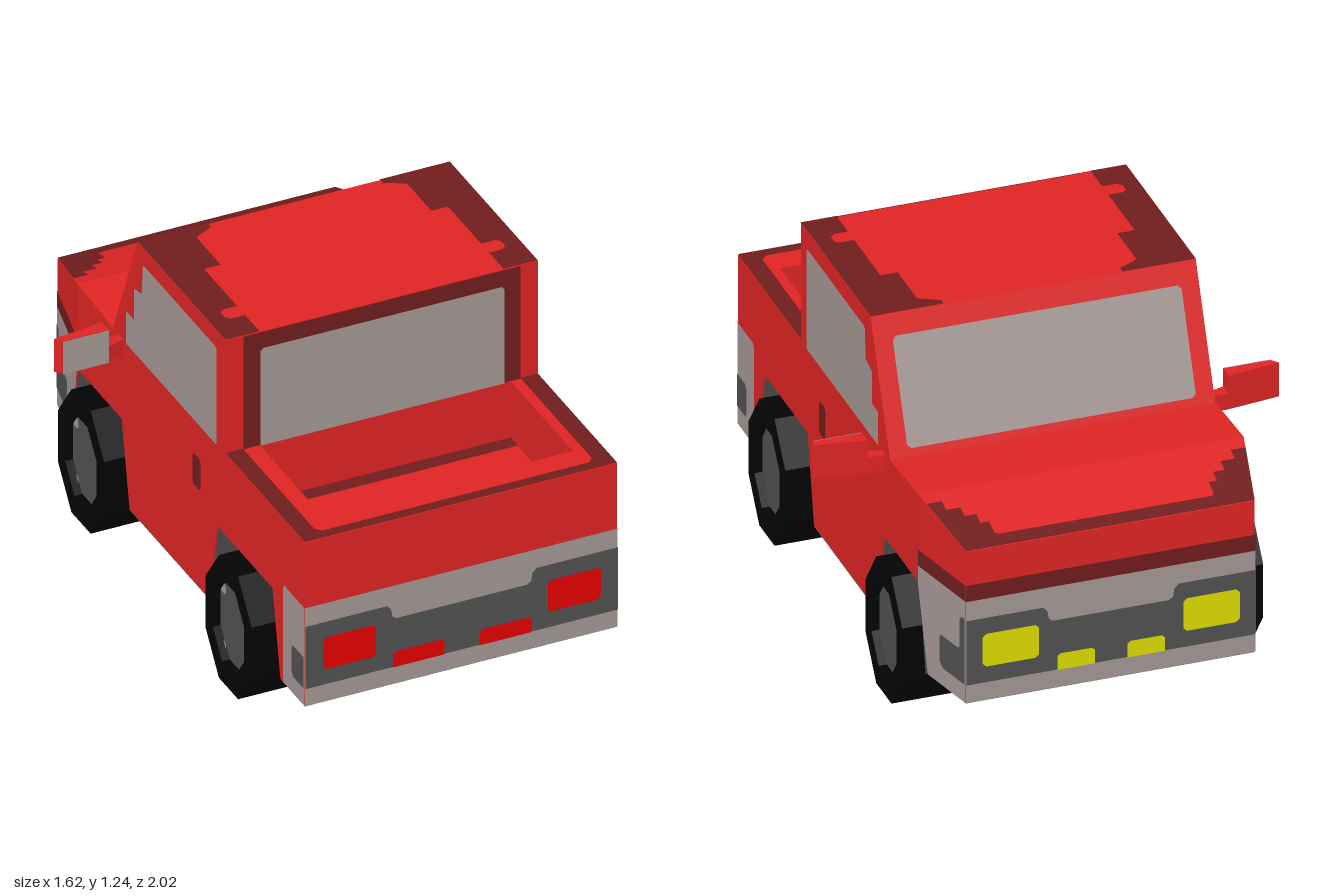
import * as THREE from 'three';
import { ConvexGeometry } from 'three/addons/geometries/ConvexGeometry.js';

const paint = (name, color) => {
  const m = new THREE.MeshStandardMaterial({ color, side: THREE.DoubleSide });
  m.name = name;
  return m;
};

export function createModel() {
  const red = paint('red paint', 0xdf2424), darkRed = paint('dark red paint', 0x701d1d);
  const grey = paint('warm grey', 0xa49795), darkGrey = paint('dark grey', 0x515151);
  const black = paint('tyre black', 0x040404), slate = paint('underside slate', 0x566076);
  const lampRed = paint('tail lamp red', 0xe60000), lampYellow = paint('head lamp yellow', 0xdede00);

  const truck = new THREE.Group();
  truck.name = 'pickupTruck';
  const add = (name, geo, mat, parent = truck) => {
    const mesh = new THREE.Mesh(geo, mat);
    mesh.name = name;
    parent.add(mesh);
    return mesh;
  };
  const vecs = pts => pts.map(p => new THREE.Vector2(...p));
  const rect = (u0, u1, v0, v1) => [[u0, v0], [u1, v0], [u1, v1], [u0, v1]];
  // Rectangle with clipped corners
  const clipped = (u0, u1, v0, v1, c = 0.012) => [[u0 + c, v0], [u1 - c, v0], [u1, v0 + c], [u1, v1 - c],
    [u1 - c, v1], [u0 + c, v1], [u0, v1 - c], [u0, v0 + c]];
  const mirrored = half => [...half, ...half.map(([u, v]) => [-u, v]).reverse()];

  // Flat painted panel: a 2D outline placed on a surface by map(u, v) -> [x, y, z]
  const panel = (name, mat, pts, map, parent = truck) => {
    const geo = new THREE.ShapeGeometry(new THREE.Shape(vecs(pts)));
    const pos = geo.attributes.position;
    for (let i = 0; i < pos.count; i++) pos.setXYZ(i, ...map(pos.getX(i), pos.getY(i)));
    geo.computeVertexNormals();
    return add(name, geo, mat, parent);
  };

  // Body slices: side profiles (z, y) extruded across x
  const slice = (name, pts, x0, x1) => {
    const geo = new THREE.ExtrudeGeometry(new THREE.Shape(vecs(pts)), { depth: x1 - x0, bevelEnabled: false });
    add(name, geo.rotateY(-Math.PI / 2).translate(x1, 0, 0), red);
  };
  const W = 0.563, base = 0.173, roofY = 1.236, floorY = 0.58, archY = 0.487;
  const pocket = [[0.87, 0.8], [0.87, floorY], [0.4, floorY]];
  const cab = [[0.4, roofY], [-0.265, roofY], [-0.45, 0.8], [-0.72, 0.815], [-0.72, archY]];
  const frontArch = [[-0.78, base], [-0.72, archY], [-0.385, archY], [-0.325, base]];
  const rearArch = [[0.275, base], [0.335, archY], [0.755, archY], [0.815, base]];
  const archCut = [...frontArch.slice(2), ...rearArch];
  const tail = [[1, base], [1, 0.8]];
  slice('bodyCentre', [...tail, ...pocket, ...cab, [-0.78, base]], -0.31, 0.31);
  const bedLeft = 0.465, bedRight = 0.44;
  for (const s of [1, -1]) {
    const span = (a, b) => (s > 0 ? [a, b] : [-b, -a]);
    const bedX = s > 0 ? bedLeft : bedRight;
    slice('bodyInner', [...tail, ...pocket, ...cab, ...archCut], ...span(0.31, bedX));
    slice('bodyOuter', [...tail, [0.4, 0.8], ...cab, ...archCut], ...span(bedX, W));
  }

  // Tapered nose
  const noseX = z => W - (-0.72 - z) * ((W - 0.5) / 0.28);
  const noseY = z => 0.735 + (z + 1) * (0.08 / 0.28);
  const nose = [];
  for (const [y, z] of [[0.815, -0.72], [archY, -0.72], [base, -0.78], [0.735, -1], [base, -1]])
    for (const s of [1, -1]) nose.push(new THREE.Vector3(s * noseX(z), y, z));
  add('nose', new ConvexGeometry(nose), red);

  // Underside, notched around the wheel arches
  panel('underside', slate, mirrored([
    [0.5, -1], [noseX(-0.78), -0.78], [0.31, -0.78], [0.31, -0.325], [W, -0.325],
    [W, 0.275], [0.31, 0.275], [0.31, 0.815], [W, 0.815], [W, 1],
  ]), (x, z) => [x, base - 0.003, z]);

  // Hood border, roof corners, bed rim and floor stripes
  panel('hoodFrontEdge', darkRed, mirrored([
    [0.5, -1], [0.552, -0.77], [0.5, -0.77], [0.5, -0.81], [0.45, -0.81], [0.45, -0.85],
    [0.41, -0.85], [0.41, -0.89], [0.38, -0.89], [0.38, -0.94], [0.37, -0.95],
  ]), (x, z) => [x, noseY(z) + 0.003, z]);
  const flat = y => (x, z) => [x, y, z];
  for (const s of [1, -1]) {
    const roof = [[W, -0.265], [W, 0.4], [0.44, 0.4], [0.44, 0.29], [0.49, 0.29], [0.505, 0.275], [0.505, 0.24],
      [0.49, 0.23], [0.44, 0.23], [0.44, -0.02], [0.38, -0.02], [0.38, -0.2], [0.37, -0.21], [0.31, -0.24], [0.31, -0.265]];
    panel('roofEdge', darkRed, roof.map(([x, z]) => [s * x, z]), flat(roofY + 0.003));
    panel('bedSideRim', darkRed, rect(s * 0.5, s * W, 0.4, 1), flat(0.803));
  }
  panel('bedRearRim', darkRed, [[-0.5, 0.94], [-0.48, 0.96], [0.48, 0.96], [0.5, 0.94], [0.5, 1], [-0.5, 1]], flat(0.803));
  for (const z of [0.4, 0.575, 0.755])
    panel('bedStripe', darkRed, rect(-bedRight, bedLeft, z, z + 0.055), flat(floorY + 0.003));

  // Windscreen and rear window
  panel('windscreen', grey, clipped(-0.5, 0.5, 0.825, 1.168),
    (x, y) => [x, y + 0.002, -0.265 - (roofY - y) * (0.185 / (roofY - 0.8)) - 0.004]);
  panel('rearWindowFrame', darkRed, rect(-0.5, 0.5, 0.802, roofY), (x, y) => [x, y, 0.403]);
  panel('rearWindow', grey, [[-0.44, 0.802], [0.44, 0.802], [0.44, 1.165], [0.43, 1.176], [-0.43, 1.176], [-0.44, 1.165]],
    (x, y) => [x, y, 0.407]);

  // Bumpers with lamps, front and rear: lamp = [x0, x1], step = grille notch position
  const bumper = (end, z, half, step, lamp, smallLamp, mat) => {
    const at = d => (x, y) => [x, y, z + Math.sign(z) * d];
    panel(end + 'Bumper', grey, rect(-half, half, base, 0.55), at(0.003));
    panel(end + 'Grille', darkGrey, mirrored([
      [half, 0.24], [half, 0.48], [step + 0.02, 0.48], [step + 0.005, 0.465], [step, 0.435], [step - 0.015, 0.425],
    ]), at(0.006));
    for (const s of [1, -1]) {
      const place = (x, y) => at(0.009)(s * x, y);
      panel(end + 'Lamp', mat, clipped(...lamp, 0.3, 0.422), place);
      const [a, b] = smallLamp;
      panel(end + 'SmallLamp', mat, [[a, 0.24], [b, 0.24], [b, 0.29], [b - 0.01, 0.3], [a + 0.01, 0.3], [a, 0.29]], place);
    }
  };
  bumper('rear', 1, W, 0.25, [0.31, 0.5], [0.063, 0.25], lampRed);
  bumper('front', -1, 0.5, 0.215, [0.25, 0.445], [0.056, 0.186], lampYellow);
  panel('noseBand', darkRed, rect(-0.5, 0.5, 0.55, 0.61), (x, y) => [x, y, -1.003]);

  // Wheel: eight-sided tyre with a recessed hub, narrowed along z
  const flatten = geo => {
    const g = geo.toNonIndexed();
    g.computeVertexNormals();
    return g;
  };
  const tyre = flatten(new THREE.LatheGeometry(
    vecs([[0, 0], [0.256, 0], [0.256, 0.315], [0.173, 0.315], [0.173, 0.285]]), 8, Math.PI / 8)
    .rotateZ(-Math.PI / 2).scale(1, 1, 0.74));
  const hub = new THREE.CircleGeometry(0.173, 8, Math.PI / 8).rotateY(Math.PI / 2).scale(1, 1, 0.74).translate(0.287, 0, 0);

  for (const s of [1, -1]) {
    // Side windows, handles and wrap-around bumper ends
    const side = d => (z, y) => [s * (W + d), y, z];
    const noseSide = d => (z, y) => [s * (noseX(z) + d), y, z];
    panel('sideWindow', grey, [[0.34, 0.8], [0.34, 1.165], [0.33, 1.176], [-0.21, 1.176], [-0.22, 1.165], [-0.225, 1.06],
      [-0.285, 1.045], [-0.285, 0.925], [-0.345, 0.925], [-0.345, 0.8]], side(0.003));
    panel('doorHandle', darkRed, clipped(0.157, 0.217, 0.55, 0.672), side(0.003));
    panel('rearBumperEnd', grey, [[0.84, base], [1, base], [1, 0.55], [0.85, 0.55], [0.84, 0.54]], side(0.002));
    panel('rearBumperInset', darkGrey, [[0.92, 0.24], [1, 0.24], [1, 0.36], [0.92, 0.36], [0.907, 0.345], [0.907, 0.255]], side(0.004));
    panel('noseSideBand', darkRed, rect(-1, -0.72, 0.55, 0.61), noseSide(0.002));
    panel('frontBumperEnd', grey, [[-0.72, 0.55], [-0.72, archY], [-0.78, base], [-1, base], [-1, 0.55]], noseSide(0.002));
    panel('frontBumperInset', darkGrey, [[-0.85, 0.26], [-0.87, 0.24], [-1, 0.24], [-1, 0.485], [-0.98, 0.485],
      [-0.97, 0.47], [-0.97, 0.37], [-0.96, 0.36], [-0.86, 0.36], [-0.85, 0.35]], noseSide(0.004));

    // Wheel arch linings
    for (const arch of [frontArch, rearArch]) {
      panel('archBackWall', darkGrey, arch, (z, y) => [s * 0.314, y, z]);
      for (let i = 0; i < 3; i++) {
        const [p, q] = [arch[i], arch[i + 1]];
        const dz = i === 0 ? 0.004 : i === 2 ? -0.004 : 0, dy = i === 1 ? -0.004 : 0;
        panel('archLining', darkGrey, rect(0, 1, 0.31, W - 0.005), (t, x) =>
          [s * x, p[1] + (q[1] - p[1]) * t + dy, p[0] + (q[0] - p[0]) * t + dz]);
      }
    }

    // Wheels
    for (const z of [-0.562, 0.553]) {
      const wheel = new THREE.Group();
      wheel.name = z < 0 ? 'frontWheel' : 'rearWheel';
      add('tyre', tyre, black, wheel);
      add('hub', hub, darkGrey, wheel);
      for (const y of [0.095, -0.125])
        panel('hubGlint', grey, clipped(-0.112, -0.07, y - 0.02, y + 0.02, 0.008), (u, v) => [0.291, v, s * u], wheel);
      wheel.position.set(s * 0.31, 0.237, z);
      if (s < 0) wheel.rotation.y = Math.PI;
      truck.add(wheel);
    }

    // Door mirror: arm, tapered head and glass
    const prism = (name, outline, y0, y1) => add(name, new ConvexGeometry(
      outline.flatMap(([x, z]) => [y0, y1].map(y => new THREE.Vector3(s * x, y, z)))), red);
    prism('mirrorArm', [[0.55, -0.38], [0.55, -0.408], [0.627, -0.405], [0.627, -0.355]], 0.738, 0.798);
    prism('mirrorHead', [[0.625, -0.355], [0.625, -0.405], [0.81, -0.38], [0.79, -0.355]], 0.738, 0.864);
    panel('mirrorGlass', grey, rect(s * 0.625, s * 0.79, 0.738, 0.864), (x, y) => [x, y, -0.351]);
  }
  return truck;
}
